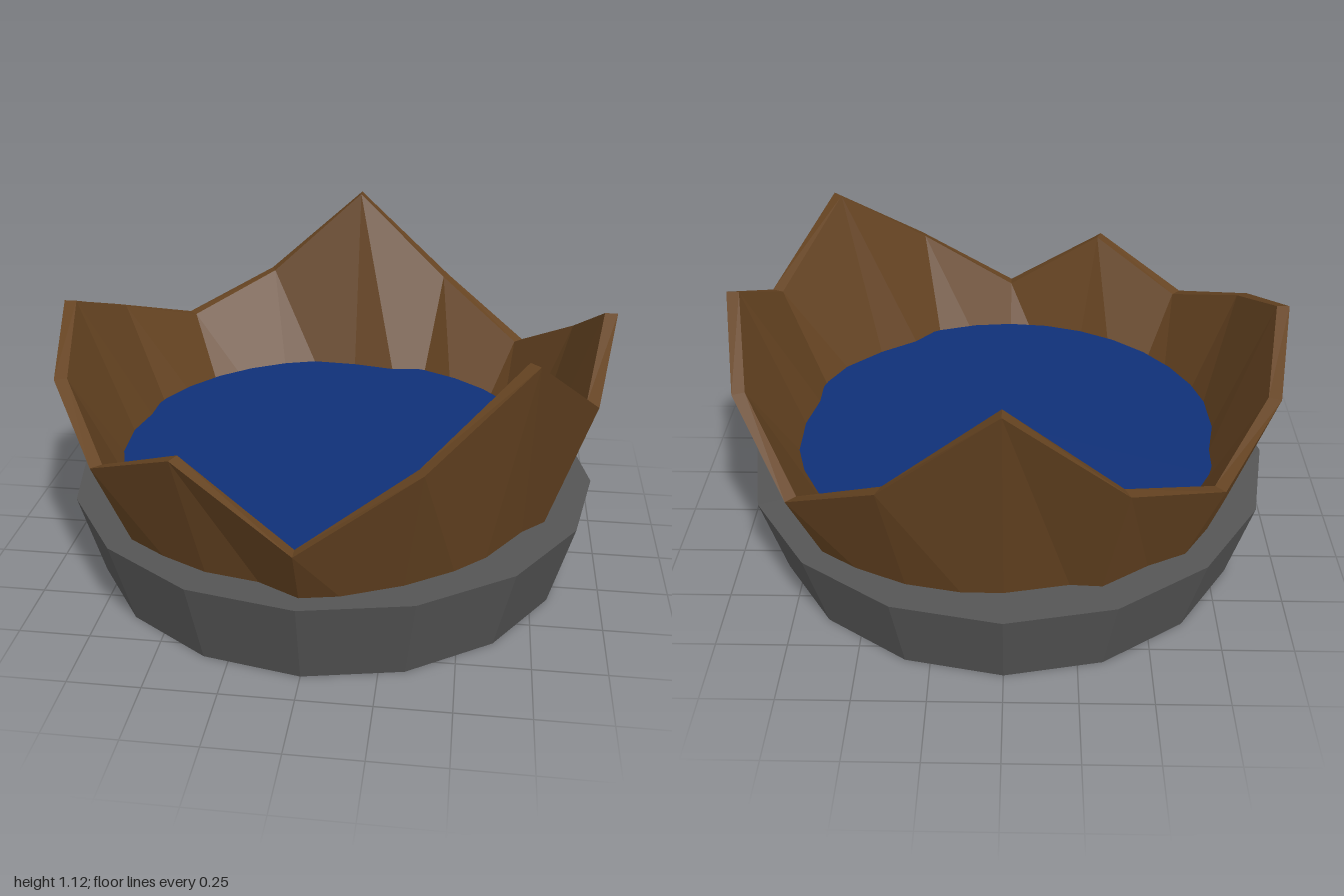
import * as THREE from 'three';

const SIDES = 16;

const mat = (name, color) => {
  const m = new THREE.MeshStandardMaterial({ color });
  m.name = name;
  return m;
};

const part = (name, geometry, material) => {
  const mesh = new THREE.Mesh(geometry, material);
  mesh.name = name;
  return mesh;
};

// Revolved profile as [radius, y] pairs
const lathe = (profile) =>
  new THREE.LatheGeometry(profile.map(([r, y]) => new THREE.Vector2(r, y)), SIDES);

// Separate the faces so that each one is shaded flat
const faceted = (geometry) => {
  const flat = geometry.toNonIndexed();
  flat.computeVertexNormals();
  return flat;
};

export function createModel() {
  const wood = mat('wood brown', 0x654321);
  const iron = mat('iron grey', 0x555555);
  const water = mat('water blue', 0x103078);
  const group = new THREE.Group();
  group.name = 'brokenBarrel';

  // Broken staves: a flared tub whose rim heights vary around the circle,
  // starting at the front and turning towards +x
  const peaks = [0.53, 1.06, 0.98, 0.59, 1.12, 0.65, 0.94, 0.63];
  const between = 0.79;
  const profile = [[0, 0.04], [0.76, 0.04], [1, 1], [0.955, 1], [0.65, 0.07], [0, 0.07]];
  const tub = lathe(profile);
  const pos = tub.attributes.position;
  for (let i = 0; i <= SIDES; i++) {
    const k = i % SIDES;
    const h = k % 2 ? between : peaks[k / 2];
    for (const j of [2, 3]) pos.setY(i * profile.length + j, h);
  }
  group.add(part('brokenStaves', faceted(tub), wood));

  // Iron hoop around the foot
  const hoop = lathe([[0.74, 0], [0.88, 0], [0.965, 0.315], [0.8, 0.315], [0.74, 0]]);
  group.add(part('ironHoop', faceted(hoop), iron));

  // Water surface
  const surface = new THREE.CircleGeometry(0.785, 32).rotateX(-Math.PI / 2);
  const pool = part('waterSurface', surface, water);
  pool.position.y = 0.42;
  group.add(pool);

  return group;
}
